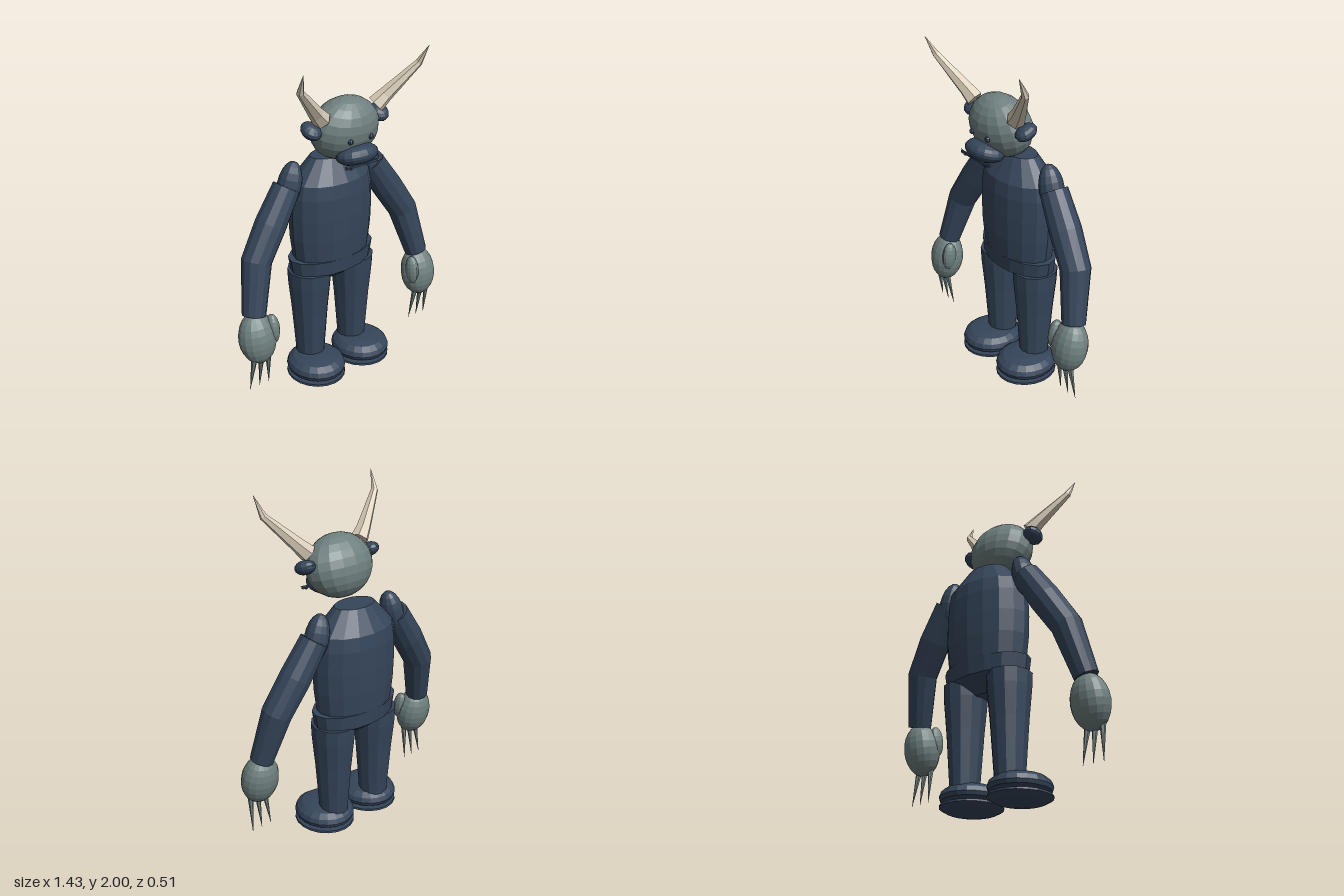
import * as THREE from 'three';

const mat = (name, color) => {
  const m = new THREE.MeshStandardMaterial({ color, flatShading: true });
  m.name = name;
  return m;
};

export function createModel() {
  const navy = mat('navy fur', 0x35455a);
  const grey = mat('grey skin', 0x6f7f7f);
  const bone = mat('bone', 0xd8ccb8);
  const root = new THREE.Group();
  root.name = 'hornedCreature';

  const add = (name, geo, material, pos = [0, 0, 0], rot = [0, 0, 0]) => {
    const mesh = new THREE.Mesh(geo, material);
    mesh.name = name;
    mesh.position.set(...pos);
    mesh.rotation.set(...rot);
    root.add(mesh);
    return mesh;
  };
  const ellipsoid = (rx, ry, rz, w = 16, h = 12) =>
    new THREE.SphereGeometry(1, w, h).scale(rx, ry, rz);
  // Profile listed bottom to top as [radius, y], squashed in depth
  const lathe = (pts, depth = 1, seg = 16) =>
    new THREE.LatheGeometry(pts.map(p => new THREE.Vector2(...p)), seg).scale(1, 1, depth);

  // Faceted limb: rings [x, y, z, radius] joined along a bent path, capped at both ends
  const limb = (rings, sides) => {
    const centres = rings.map(r => new THREE.Vector3(r[0], r[1], r[2]));
    const pos = [], idx = [], last = rings.length - 1;
    rings.forEach((r, i) => {
      const t = centres[Math.min(i + 1, last)].clone().sub(centres[Math.max(i - 1, 0)]).normalize();
      const u = new THREE.Vector3(0, 0, 1).addScaledVector(t, -t.z).normalize();
      const v = t.clone().cross(u);
      for (let j = 0; j < sides; j++) {
        const a = j / sides * Math.PI * 2;
        const p = centres[i].clone().addScaledVector(u, Math.cos(a) * r[3]).addScaledVector(v, Math.sin(a) * r[3]);
        pos.push(p.x, p.y, p.z);
      }
    });
    for (let i = 0; i < last; i++) for (let j = 0; j < sides; j++) {
      const a = i * sides + j, b = i * sides + (j + 1) % sides;
      idx.push(a, b, b + sides, a, b + sides, a + sides);
    }
    const e = last * sides;
    for (let j = 1; j < sides - 1; j++) idx.push(0, j + 1, j, e, e + j, e + j + 1);
    const g = new THREE.BufferGeometry();
    g.setAttribute('position', new THREE.Float32BufferAttribute(pos, 3));
    g.setIndex(idx);
    g.computeVertexNormals();
    return g;
  };

  // Torso and hips
  add('torso', lathe([[0, 0.72], [0.235, 0.72], [0.25, 0.8], [0.265, 0.92], [0.27, 1.05],
    [0.266, 1.18], [0.25, 1.26], [0.13, 1.39], [0, 1.39]], 0.645), navy, [0, 0, -0.08]);
  add('hips', lathe([[0, 0.62], [0.09, 0.62], [0.27, 0.7], [0.285, 0.79], [0, 0.79]], 0.56),
    navy, [0, 0, -0.08]);

  // Head, muzzle and mouth
  add('head', ellipsoid(0.21, 0.18, 0.152), grey, [0, 1.577, 0.045], [0.28, 0, 0]);
  add('muzzle', ellipsoid(0.126, 0.06, 0.1), navy, [0, 1.456, 0.154], [-0.25, 0, 0]);
  add('mouth', new THREE.BoxGeometry(0.25, 0.012, 0.012), navy, [0, 1.422, 0.218]);

  for (const s of [1, -1]) {
    const side = s > 0 ? 'left' : 'right';

    // Face details
    add(side + 'Eye', ellipsoid(0.016, 0.016, 0.016, 8, 6), navy, [s * 0.07, 1.55, 0.185]);
    add(side + 'Ear', ellipsoid(0.056, 0.04, 0.065, 12, 8), navy, [s * 0.232, 1.613, 0.055], [0.45, 0, s * 0.1]);
    add(side + 'MouthCorner', new THREE.ConeGeometry(0.014, 0.05, 4), navy,
      [s * 0.112, 1.427, 0.218], [0, 0, -s * 1.2]);
    add(side + 'Horn', limb([[s * 0.185, 1.675, 0.085, 0.052], [s * 0.235, 1.725, 0.105, 0.042],
      [s * 0.395, 1.895, 0.19, 0.021], [s * 0.415, 2, 0.245, 0.001]], 6), bone);

    // Arm
    add(side + 'Shoulder', ellipsoid(0.068, 0.14, 0.072, 12, 10), navy, [s * 0.28, 1.262, -0.088], [0, 0, s * 0.28]);
    add(side + 'Arm', limb([[s * 0.298, 1.258, -0.088, 0.08], [s * 0.42, 1.07, -0.075, 0.091],
      [s * 0.535, 0.89, -0.055, 0.087], [s * 0.605, 0.6, 0.005, 0.068]], 12), navy);

    // Hand, thumb and claws
    add(side + 'Hand', ellipsoid(0.112, 0.154, 0.096), grey, [s * 0.605, 0.467, 0.03], [-0.18, 0, 0]);
    add(side + 'Thumb', ellipsoid(0.039, 0.09, 0.045, 12, 10), grey, [s * 0.525, 0.51, 0.065], [-0.1, 0, 0]);
    for (const k of [-1, 0, 1]) {
      add(side + 'Claw', limb([[s * (0.606 + k * 0.045), 0.38, 0.065, 0.02],
        [s * (0.606 + k * 0.064), 0.14, 0.03, 0.001]], 6), grey);
    }

    // Leg
    add(side + 'Leg', lathe([[0, 0.12], [0.082, 0.12], [0.105, 0.44], [0.122, 0.62], [0.126, 0.705], [0, 0.705]], 1.06, 12),
      navy, [s * 0.158, 0, -0.08]);

    // Foot with a separate rounded sole
    add(side + 'Foot', lathe([[0, 0.045], [0.135, 0.05], [0.163, 0.068], [0.17, 0.09], [0.16, 0.118],
      [0.13, 0.142], [0.08, 0.153], [0, 0.157]], 1.09, 20), navy, [s * 0.17, 0, -0.01]);
    add(side + 'Sole', lathe([[0, 0], [0.08, 0.004], [0.135, 0.014], [0.17, 0.034], [0.168, 0.046], [0, 0.05]], 1.09, 20),
      navy, [s * 0.17, 0, -0.01]);
  }
  return root;
}
